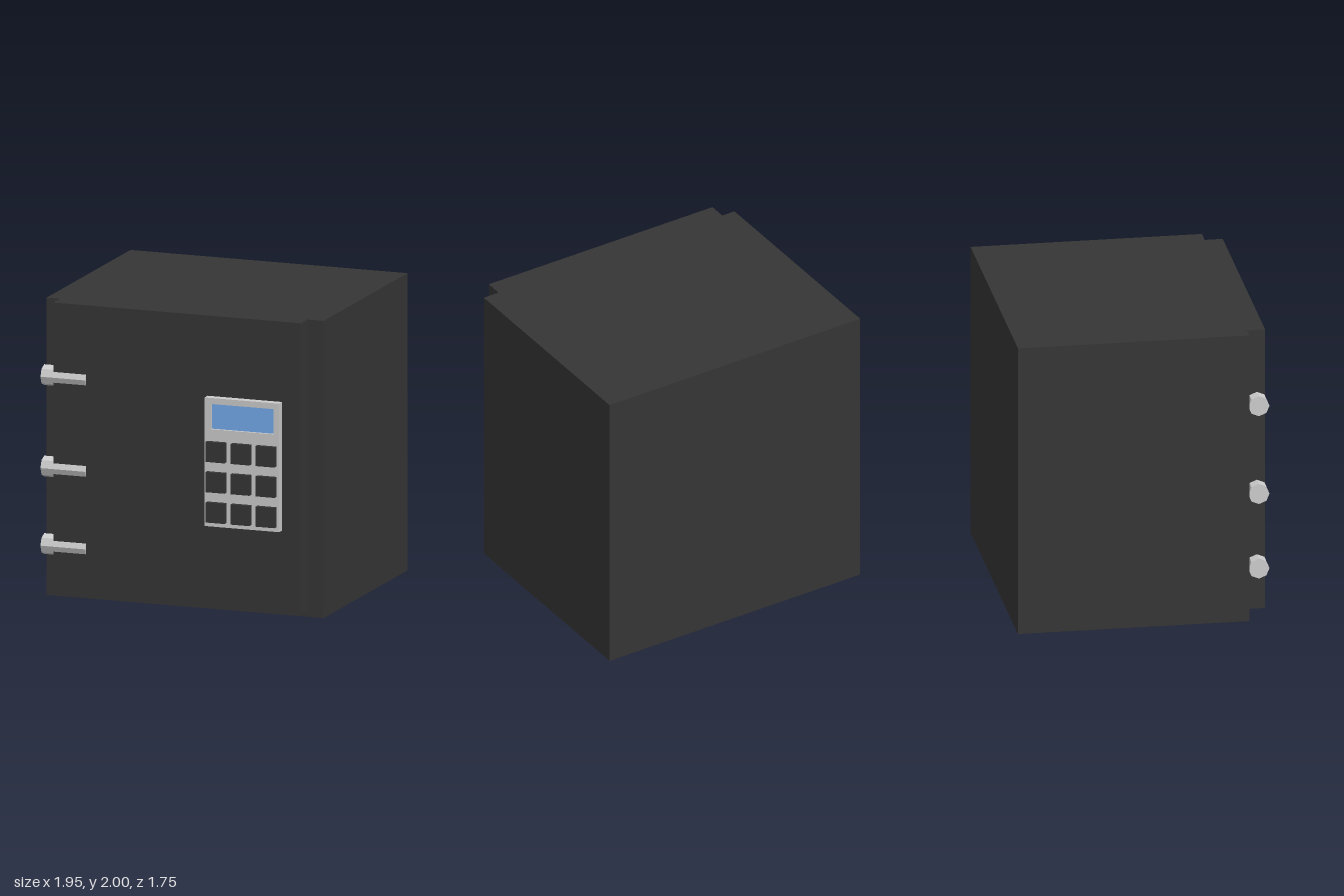
import * as THREE from 'three';

const dark = new THREE.MeshStandardMaterial({ color: 0x353535 });
const grey = new THREE.MeshStandardMaterial({ color: 0xcccccc });
const hingeGrey = new THREE.MeshStandardMaterial({ color: 0xcccccc, flatShading: true });
const blue = new THREE.MeshStandardMaterial({ color: 0x74a9ea });

// Box given by its minimum and maximum corners
function box(name, min, max, material) {
  const size = max.map((v, i) => v - min[i]);
  const mesh = new THREE.Mesh(new THREE.BoxGeometry(...size), material);
  mesh.position.set(...max.map((v, i) => (v + min[i]) / 2));
  mesh.name = name;
  return mesh;
}

function rectangle(path, x0, y0, x1, y1) {
  return path.moveTo(x0, y0).lineTo(x1, y0).lineTo(x1, y1).lineTo(x0, y1).closePath();
}

export function createModel() {
  const safe = new THREE.Group();
  safe.name = 'safe';

  // Main box and the raised door
  safe.add(box('body', [-0.975, 0, -0.875], [0.975, 2, 0.665], dark));
  safe.add(box('door', [-0.88, 0.05, 0.66], [0.86, 2, 0.785], dark));

  // Octagonal hinge bars, half sunk into the door
  const hingeGeometry = new THREE.CylinderGeometry(0.07, 0.07, 0.315, 8).rotateZ(Math.PI / 2);
  for (const y of [0.36, 0.882, 1.497]) {
    const hinge = new THREE.Mesh(hingeGeometry, hingeGrey);
    hinge.position.set(-0.808, y, 0.73);
    hinge.name = 'hinge';
    safe.add(hinge);
  }

  // Keypad plate with a window for the recessed screen
  const keypad = new THREE.Group();
  keypad.name = 'keypad';
  const plateShape = rectangle(new THREE.Shape(), 0.205, 0.595, 0.73, 1.46);
  plateShape.holes.push(rectangle(new THREE.Path(), 0.25, 1.25, 0.69, 1.42));
  const plate = new THREE.Mesh(
    new THREE.ExtrudeGeometry(plateShape, { depth: 0.057, bevelEnabled: false }), grey);
  plate.position.z = 0.784;
  plate.name = 'keypadPlate';
  keypad.add(plate);
  keypad.add(box('screen', [0.25, 1.25, 0.784], [0.69, 1.42, 0.822], blue));

  // Three by three keys
  for (let row = 0; row < 3; row++) {
    for (let col = 0; col < 3; col++) {
      const x = 0.225 + col * 0.176;
      const y = 0.627 + row * 0.204;
      keypad.add(box('key', [x, y, 0.83], [x + 0.133, y + 0.135, 0.875], dark));
    }
  }
  safe.add(keypad);

  return safe;
}
